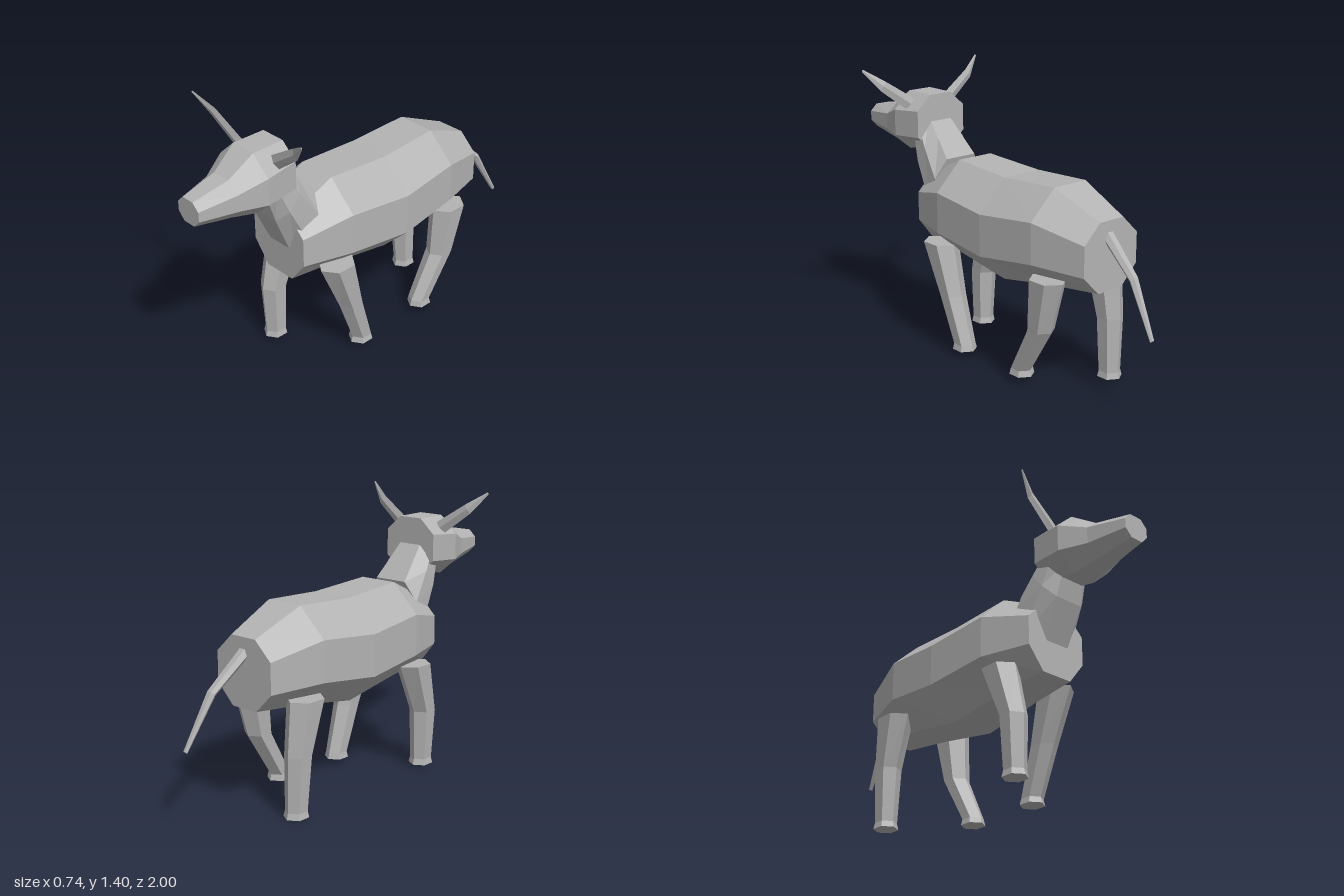
import * as THREE from 'three';

const hide = new THREE.MeshStandardMaterial({ color: 0xb3b3b3, flatShading: true });
hide.name = 'grey hide';

// Skin a closed solid over rings that run counter-clockwise about the travel direction
function loft(name, rings) {
  const pos = [];
  const tri = (a, b, c) => pos.push(...a, ...b, ...c);
  const n = rings[0].length;
  for (let r = 0; r < rings.length - 1; r++) {
    const a = rings[r], b = rings[r + 1];
    for (let i = 0; i < n; i++) {
      const j = (i + 1) % n;
      tri(a[i], a[j], b[j]);
      tri(a[i], b[j], b[i]);
    }
  }
  const first = rings[0], last = rings[rings.length - 1];
  for (let i = 1; i < n - 1; i++) {
    tri(first[0], first[i + 1], first[i]);
    tri(last[0], last[i], last[i + 1]);
  }
  const geo = new THREE.BufferGeometry();
  geo.setAttribute('position', new THREE.Float32BufferAttribute(pos, 3));
  geo.computeVertexNormals();
  const mesh = new THREE.Mesh(geo, hide);
  mesh.name = name;
  return mesh;
}

// Upright octagon: side half-width, flat half-width, four heights
function octagon({ x = 0, z, hw, flat, ys: [top, upper, lower, bottom] }) {
  return [
    [hw, lower], [hw, upper], [flat, top], [-flat, top],
    [-hw, upper], [-hw, lower], [-flat, bottom], [flat, bottom],
  ].map(([px, py]) => [x + px, py, z]);
}

// Tilted octagon between a back point and a front point, each [z, y]
function tilted({ back, front, hw, flat, flatFront }) {
  return [
    [hw, 0.7], [hw, 0.27], [flat, 0], [-flat, 0],
    [-hw, 0.27], [-hw, 0.7], [-flatFront, 1], [flatFront, 1],
  ].map(([x, t]) => [
    x,
    THREE.MathUtils.lerp(back[1], front[1], t),
    THREE.MathUtils.lerp(back[0], front[0], t),
  ]);
}

// Oval ring with n sides in the plane of u and v
function oval(c, u, v, n, phase = 0) {
  return Array.from({ length: n }, (_, i) => {
    const a = phase + (i / n) * Math.PI * 2;
    return c.clone().addScaledVector(u, Math.cos(a)).addScaledVector(v, Math.sin(a)).toArray();
  });
}

const vec = (x, y, z) => new THREE.Vector3(x, y, z);

// Six-sided leg with a knee and a flared hoof; stations are z centres
function leg(name, side, base, topZ, kneeZ, footZ) {
  const stations = [
    [0.183, 0.56, topZ, 0.071, 0.1],
    [0.18, 0.3, kneeZ, 0.056, 0.067],
    [0.175, base + 0.03, footZ, 0.046, 0.056],
    [0.175, base, footZ, 0.052, 0.064],
  ];
  return loft(name, stations.map(([x, y, z, hx, hz]) =>
    oval(vec(side * x - 0.004, y, z), vec(hx / 0.866, 0, 0), vec(0, 0, hz), 6, Math.PI / 6)));
}

// Thin blade-like horn curving out, up and forward
function horn(name, side) {
  const stations = [
    [0.1, 1.188, 0.602, 0.036, 0.012],
    [0.275, 1.31, 0.622, 0.027, 0.008],
    [0.366, 1.392, 0.664, 0.006, 0.003],
  ];
  const t = vec(side * 0.27, 0.2, 0).normalize();
  return loft(name, stations.map(([x, y, z, w, d]) =>
    oval(vec(side * x, y, z), vec(-t.y * w, t.x * w, 0), vec(0, 0, d), 4)));
}

export function createModel() {
  const model = new THREE.Group();
  model.name = 'horned animal';

  // Barrel body, rump to chest
  model.add(loft('body', [
    { z: -0.685, hw: 0.17, flat: 0.075, ys: [0.855, 0.765, 0.615, 0.52] },
    { z: -0.42, hw: 0.247, flat: 0.1, ys: [0.968, 0.83, 0.63, 0.497] },
    { z: -0.09, hw: 0.268, flat: 0.11, ys: [0.952, 0.8, 0.593, 0.444] },
    { z: 0.25, hw: 0.247, flat: 0.1, ys: [0.973, 0.83, 0.625, 0.495] },
    { z: 0.495, hw: 0.172, flat: 0.085, ys: [0.855, 0.77, 0.625, 0.515] },
  ].map((s) => octagon({ ...s, x: -0.006 }))));

  // Neck, from inside the chest to inside the head
  model.add(loft('neck', [
    { back: [0.355, 0.955], front: [0.455, 0.59], hw: 0.147, flat: 0.09, flatFront: 0.06 },
    { back: [0.44, 1.045], front: [0.58, 0.87], hw: 0.133, flat: 0.075, flatFront: 0.08 },
    { back: [0.53, 1.14], front: [0.62, 1.03], hw: 0.112, flat: 0.06, flatFront: 0.06 },
  ].map(tilted)));

  // Head, nape to muzzle
  model.add(loft('head', [
    { z: 0.51, x: 0, hw: 0.148, flat: 0.065, ys: [1.255, 1.18, 1.045, 0.985] },
    { z: 0.68, x: 0, hw: 0.163, flat: 0.067, ys: [1.255, 1.167, 1.035, 0.952] },
    { z: 0.81, x: 0.006, hw: 0.11, flat: 0.048, ys: [1.17, 1.12, 1.038, 0.98] },
    { z: 1.0, x: 0.013, hw: 0.07, flat: 0.034, ys: [1.135, 1.1, 1.052, 1.015] },
  ].map(octagon)));

  // Horns
  model.add(horn('leftHorn', 1), horn('rightHorn', -1));

  // Legs in mid stride
  model.add(
    leg('frontLeftLeg', 1, 0.03, 0.3, 0.215, 0.134),
    leg('frontRightLeg', -1, 0.012, 0.31, 0.395, 0.395),
    leg('backLeftLeg', 1, 0.035, -0.47, -0.425, -0.29),
    leg('backRightLeg', -1, 0, -0.475, -0.525, -0.535),
  );

  // Tail
  const tail = [
    [0, 0.79, -0.66, 0.032, 0.028],
    [0.025, 0.625, -0.855, 0.024, 0.02],
    [0.05, 0.38, -0.995, 0.011, 0.01],
  ];
  model.add(loft('tail', tail.map(([x, y, z, w, h]) =>
    oval(vec(x, y, z), vec(w, 0, 0), vec(0, -0.66 * h, 0.75 * h), 6))));

  return model;
}
